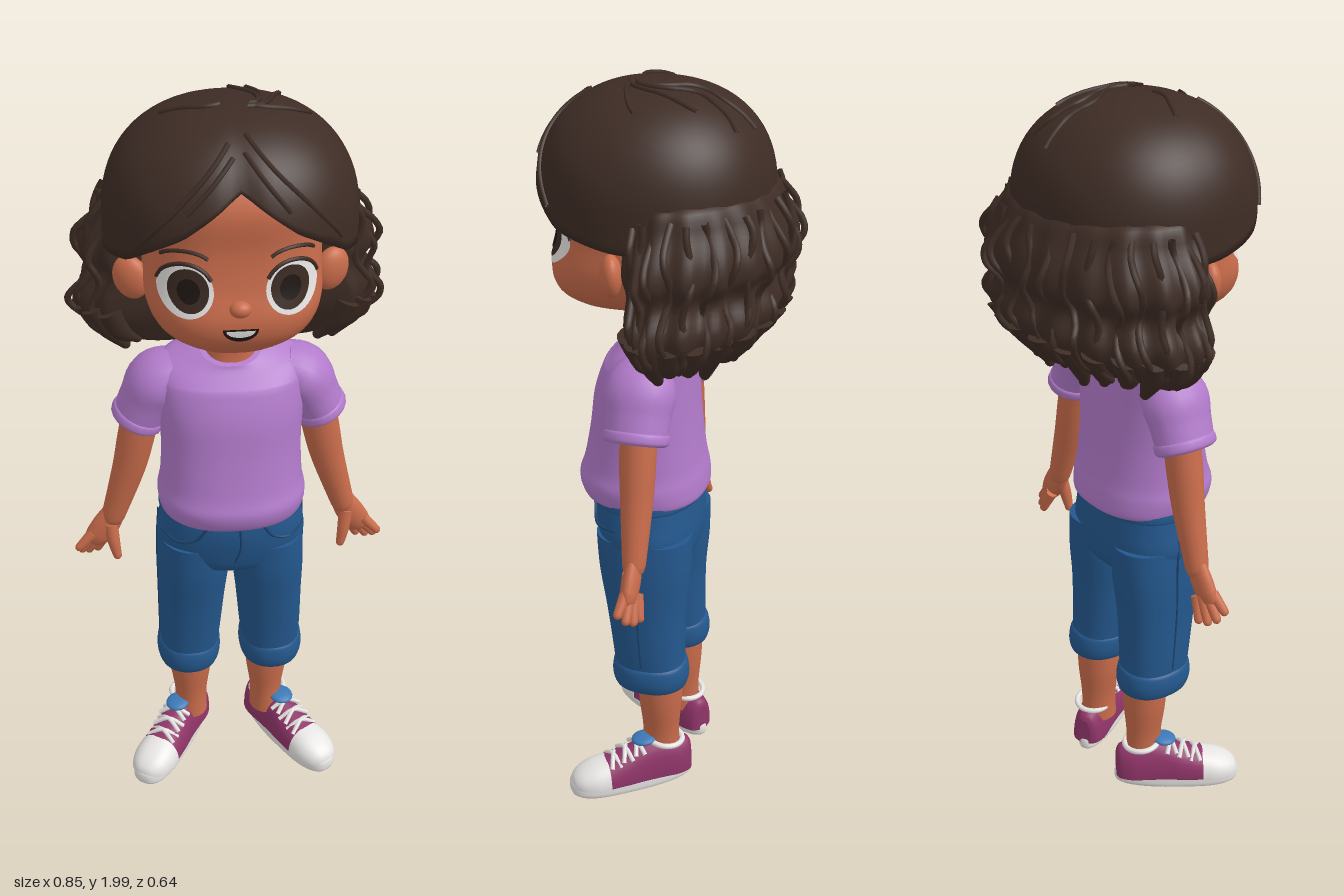
import * as THREE from 'three';

const mat = (name, color, double) => {
  const m = new THREE.MeshStandardMaterial({ color });
  m.name = name;
  if (double) m.side = THREE.DoubleSide;
  return m;
};

// Catmull-Rom smoothing of rows of numbers
const cr = (a, b, c, d, t) => b + 0.5 * t * (c - a + t * (2 * a - 5 * b + 4 * c - d + t * (3 * (b - c) + d - a)));
function smooth(rows, k = 5) {
  const out = [], at = i => rows[Math.min(Math.max(i, 0), rows.length - 1)];
  for (let i = 0; i < rows.length - 1; i++)
    for (let j = 0; j < k; j++)
      out.push(rows[i].map((_, c) => cr(at(i - 1)[c], at(i)[c], at(i + 1)[c], at(i + 2)[c], j / k)));
  out.push(rows[rows.length - 1].slice());
  return out;
}
const spow = (v, p) => Math.sign(v) * Math.abs(v) ** (2 / p);

// Skin over closed rings of points; faces are turned outward by signed volume
function loft(rings, caps = true) {
  const n = rings[0].length, pos = rings.flat(2), idx = [];
  for (let i = 0; i < rings.length - 1; i++)
    for (let j = 0; j < n; j++) {
      const a = i * n + j, b = i * n + (j + 1) % n;
      idx.push(a, b, a + n, b, b + n, a + n);
    }
  if (caps) [rings[0], rings[rings.length - 1]].forEach((r, e) => {
    const s = pos.length / 3;
    pos.push(...r.flat(), ...[0, 1, 2].map(c => r.reduce((t, p) => t + p[c], 0) / n));
    for (let j = 0; j < n; j++) {
      const a = s + j, b = s + (j + 1) % n;
      idx.push(...(e ? [a, b, s + n] : [b, a, s + n]));
    }
  });
  let vol = 0;
  const v = i => new THREE.Vector3().fromArray(pos, i * 3);
  for (let i = 0; i < idx.length; i += 3) vol += v(idx[i]).dot(v(idx[i + 1]).cross(v(idx[i + 2])));
  if (vol < 0) idx.reverse();
  const g = new THREE.BufferGeometry();
  g.setAttribute('position', new THREE.Float32BufferAttribute(pos, 3));
  g.setIndex(idx);
  g.computeVertexNormals();
  return g;
}
const ring = (n, f) => Array.from({ length: n }, (_, i) => f(i / n * Math.PI * 2));

// Upright body from rows [y, centre x, half width, front z, back z]
const column = (rows, p = 2.3, k = 5) => loft(smooth(rows, k).map(([y, cx, rx, zf, zb]) =>
  ring(48, a => [cx + rx * spow(Math.sin(a), p), y, (zf + zb) / 2 + (zf - zb) / 2 * spow(Math.cos(a), p)])));

// Tapered limb from points [x, y, z, radius]; zs flattens it in z
function limb(points, zs = 1, round = true, n = 20) {
  const rows = smooth(points), rings = [];
  const add = ([x, y, z], r, t, s) => rings.push(ring(n, a =>
    [x + t.x * s + t.y * r * Math.cos(a), y + t.y * s - t.x * r * Math.cos(a), z + r * zs * Math.sin(a)]));
  rows.forEach((q, i) => {
    const a = rows[Math.max(i - 1, 0)], b = rows[Math.min(i + 1, rows.length - 1)];
    const t = new THREE.Vector2(b[0] - a[0], b[1] - a[1]).normalize();
    add(q, q[3], t, 0);
    if (round && i === rows.length - 1) for (const s of [0.5, 0.85, 1]) add(q, q[3] * Math.sqrt(1.02 - s * s), t, q[3] * s);
  });
  return loft(rings);
}
const tube = (pts, r, seg = 16) =>
  new THREE.TubeGeometry(new THREE.CatmullRomCurve3(pts.map(p => new THREE.Vector3(...p))), seg, r, 6);

// Head profile, also used to lay the face details on its surface
const HEAD = [[1.415, 0, 0.05, 0.2, 0.05], [1.435, 0, 0.11, 0.24, -0.02], [1.48, 0, 0.18, 0.285, -0.08], [1.54, 0, 0.212, 0.298, -0.12],
  [1.62, 0, 0.215, 0.277, -0.15], [1.7, 0, 0.215, 0.267, -0.17], [1.8, 0, 0.21, 0.268, -0.16], [1.88, 0, 0.16, 0.22, -0.1], [1.94, 0, 0.06, 0.12, 0]];
const headRows = smooth(HEAD, 8);
function faceZ(x, y) {
  const i = Math.max(1, headRows.findIndex(r => r[0] > y)), a = headRows[i - 1], b = headRows[i], t = (y - a[0]) / (b[0] - a[0]);
  const [, , rx, zf, zb] = a.map((v, c) => v + (b[c] - v) * t);
  return (zf + zb) / 2 + (zf - zb) / 2 * Math.max(0, 1 - Math.abs(x / rx) ** 2.8) ** (1 / 2.8);
}
function faceDisc(cx, cy, rx, ry, off, from = 0, len = Math.PI * 2) {
  const g = new THREE.RingGeometry(0.001, 1, 40, 6, from, len), p = g.attributes.position;
  for (let i = 0; i < p.count; i++) {
    const x = cx + p.getX(i) * rx, y = cy + p.getY(i) * ry;
    p.setXYZ(i, x, y, faceZ(x, y) + off);
  }
  g.computeVertexNormals();
  return g;
}

// Hair cap surface: angle a from the front, phi from the crown
const lerp = THREE.MathUtils.lerp;
function hairline(a) {
  const keys = [[0, 1.86], [0.15, 1.825], [0.41, 1.765], [0.96, 1.68], [1.5, 1.65], [3.2, 1.6]];
  const i = keys.findIndex(k => k[0] > a), [a0, y0] = keys[i - 1], [a1, y1] = keys[i];
  return lerp(y0, y1, (a - a0) / (a1 - a0));
}
function capPoint(a, phi, s = 1) {
  const r = (phi > Math.PI / 2 ? 1 : spow(Math.sin(phi), 2.3)) * s;
  const part = Math.cos(a) > 0 ? 1 - 0.06 * Math.exp(-((Math.sin(a) / 0.12) ** 2)) * Math.sin(Math.min(phi, 1.57)) : 1;
  return [0.305 * r * spow(Math.sin(a), 2.15), 1.72 + 0.268 * s * spow(Math.cos(phi), 2.3),
    0.05 + (Math.cos(a) > 0 ? 0.285 * part : 0.3) * r * spow(Math.cos(a), 2.15)];
}

// Wavy lower hair rows [y, half width, back z, front z]
const MASS = smooth([[1.77, 0.15, -0.1, 0.05], [1.76, 0.28, -0.23, 0.09], [1.7, 0.315, -0.275, 0.1], [1.64, 0.352, -0.3, 0.1], [1.59, 0.362, -0.3, 0.1],
  [1.54, 0.343, -0.272, 0.09], [1.48, 0.375, -0.288, 0.09], [1.43, 0.368, -0.265, 0.08], [1.38, 0.32, -0.215, 0.05],
  [1.35, 0.25, -0.15, 0.03], [1.345, 0.15, -0.1, 0.02]], 4);
function massPoint(a, y, s = 1) {
  const row = MASS.reduce((b, r) => Math.abs(r[0] - y) < Math.abs(b[0] - y) ? r : b);
  return massAt(row, a, s, y);
}
const massAt = ([y0, rx, zb, zf], a, s, y = y0) =>
  [rx * s * Math.sin(a), y, -0.04 + (Math.cos(a) > 0 ? zf + 0.04 : -0.04 - zb) * s * Math.cos(a)];

export function createModel() {
  const root = new THREE.Group();
  root.name = 'girl';
  const skin = mat('skin', 0xc96c4b), hair = mat('hair', 0x3e2c25, true), lilac = mat('shirt lilac', 0xb27bcb);
  const denim = mat('denim', 0x24588e), navy = mat('dark denim', 0x1c4470), plum = mat('shoe plum', 0x8f3568);
  const white = mat('white', 0xf0eeec), blue = mat('tongue blue', 0x3b78b5), dark = mat('pupil dark', 0x1d1512), iris = mat('iris brown', 0x3a2a22);
  const add = (name, geo, m, parent = root) => {
    const o = new THREE.Mesh(geo, m);
    o.name = name;
    parent.add(o);
    return o;
  };
  const ball = (name, m, p, s) => {
    const o = add(name, new THREE.SphereGeometry(1, 24, 16), m);
    o.position.set(...p);
    o.scale.set(...s);
    return o;
  };

  // Head and face
  add('head', column(HEAD, 2.8, 8), skin);
  add('neck', column([[1.27, 0, 0.078, 0.125, -0.03], [1.36, 0, 0.068, 0.112, -0.02], [1.47, 0, 0.07, 0.12, -0.02]]), skin);
  ball('nose', skin, [0, 1.575, 0.288], [0.026, 0.02, 0.022]);
  add('mouth', faceDisc(0, 1.53, 0.042, 0.034, 0.004, Math.PI, Math.PI), dark);
  add('teeth', faceDisc(0, 1.527, 0.034, 0.018, 0.007, Math.PI, Math.PI), white);

  // Shirt with a neckline that dips at the front
  const shirt = column([[0.9, 0, 0.17, 0.215, -0.075], [0.905, 0, 0.188, 0.237, -0.093], [0.95, 0, 0.195, 0.25, -0.09], [1.0, 0, 0.186, 0.235, -0.08],
    [1.1, 0, 0.182, 0.215, -0.068], [1.2, 0, 0.187, 0.2, -0.06], [1.28, 0, 0.19, 0.172, -0.055], [1.33, 0, 0.175, 0.148, -0.05],
    [1.36, 0, 0.12, 0.13, -0.04], [1.375, 0, 0.082, 0.125, -0.035]]);
  const sp = shirt.attributes.position;
  for (let i = 0; i < sp.count; i++) {
    const y = sp.getY(i);
    if (y > 1.28) sp.setY(i, y - Math.max(0, sp.getZ(i) - 0.03) * 5 * (y - 1.28));
  }
  shirt.computeVertexNormals();
  add('shirt', shirt, lilac);

  // Trousers: hips, waistband, button
  add('hips', column([[0.7, 0, 0.09, 0.13, -0.04], [0.73, 0, 0.17, 0.175, -0.07], [0.79, 0, 0.2, 0.195, -0.078], [0.86, 0, 0.192, 0.205, -0.075], [0.93, 0, 0.18, 0.2, -0.07]]), denim);
  add('waistband', column([[0.888, 0, 0.188, 0.208, -0.077], [0.895, 0, 0.193, 0.214, -0.082], [0.925, 0, 0.188, 0.212, -0.08], [0.932, 0, 0.18, 0.2, -0.07]], 2.3, 2), denim);
  ball('button', navy, [0, 0.908, 0.215], [0.011, 0.011, 0.006]);
  add('flySeam', tube([[0.012, 0.885, 0.206], [0.014, 0.82, 0.203], [0, 0.77, 0.195]], 0.003), navy);

  for (const s of [1, -1]) {
    const side = s > 0 ? 'left' : 'right', part = n => side + n;
    const mx = pts => pts.map(([x, ...r]) => [x * s, ...r]);

    // Eye, lashes, brow, ear
    add(part('EyeWhite'), faceDisc(s * 0.124, 1.615, 0.064, 0.062, 0.003), white);
    add(part('Iris'), faceDisc(s * 0.118, 1.618, 0.047, 0.051, 0.006), iris);
    add(part('Pupil'), faceDisc(s * 0.118, 1.618, 0.026, 0.029, 0.009), dark);
    const arc = (y0, rx, ry, a0, a1) => Array.from({ length: 9 }, (_, i) => {
      const a = lerp(a0, a1, i / 8), x = s * (0.124 + rx * Math.cos(a)), y = y0 + ry * Math.sin(a);
      return [x, y, faceZ(x, y) + 0.003];
    });
    add(part('Lashes'), tube(arc(1.615, 0.065, 0.064, 0.25, 2.7), 0.005), hair);
    add(part('Brow'), tube(arc(1.675, 0.06, 0.035, 0.5, 2.6), 0.005), hair);
    ball(part('Ear'), skin, [s * 0.243, 1.572, 0.09], [0.045, 0.056, 0.028]).rotation.set(0, s * 0.35, -s * 0.25);

    // Sleeve, arm, hand
    add(part('Sleeve'), limb(mx([[0.13, 1.285, 0.04, 0.06], [0.185, 1.255, 0.037, 0.076], [0.215, 1.2, 0.035, 0.07], [0.24, 1.145, 0.033, 0.066]]), 1.22, false), lilac);
    add(part('SleeveHem'), limb(mx([[0.231, 1.165, 0.033, 0.066], [0.234, 1.158, 0.033, 0.071], [0.241, 1.142, 0.033, 0.071], [0.244, 1.135, 0.033, 0.064]]), 1.2, false), lilac);
    add(part('Arm'), limb(mx([[0.22, 1.2, 0.03, 0.05], [0.245, 1.08, 0.028, 0.049], [0.268, 0.98, 0.025, 0.044], [0.315, 0.825, 0.02, 0.032]]), 0.95), skin);
    add(part('Palm'), limb(mx([[0.31, 0.84, 0.02, 0.031], [0.335, 0.795, 0.02, 0.038], [0.358, 0.762, 0.02, 0.036]]), 0.6), skin);
    [[0.412, 0.732, 0.035], [0.405, 0.712, 0.016], [0.386, 0.7, 0.002], [0.362, 0.698, -0.008]].forEach((t, i) =>
      add(part('Finger' + (i + 1)), limb(mx([[0.372 - i * 0.012, 0.772 - i * 0.006, 0.026 - i * 0.007, 0.016], [...t, 0.012]]), 1, true, 12), skin));
    add(part('Thumb'), limb(mx([[0.325, 0.805, 0.028, 0.02], [0.318, 0.75, 0.04, 0.017], [0.31, 0.705, 0.046, 0.012]]), 1, true, 12), skin);

    // Trouser leg, rolled cuff, pocket seam, shin
    const x = s * 0.112;
    add(part('TrouserLeg'), column([[0.35, s * 0.117, 0.078, 0.13, -0.063], [0.45, s * 0.114, 0.086, 0.14, -0.06], [0.58, s * 0.108, 0.092, 0.158, -0.062],
      [0.7, s * 0.102, 0.099, 0.178, -0.073], [0.8, s * 0.1, 0.096, 0.185, -0.074]]), denim);
    add(part('Cuff'), column([[0.33, s * 0.118, 0.07, 0.12, -0.055], [0.335, s * 0.118, 0.083, 0.134, -0.067], [0.365, s * 0.118, 0.09, 0.142, -0.073],
      [0.4, s * 0.117, 0.087, 0.139, -0.068], [0.41, s * 0.117, 0.078, 0.13, -0.06]], 2.2, 3), denim);
    add(part('PocketSeam'), tube(mx([[0.075, 0.888, 0.2], [0.1, 0.85, 0.192], [0.15, 0.832, 0.17], [0.19, 0.838, 0.11]]), 0.004), navy);
    add(part('SideSeam'), tube(mx([[0.194, 0.87, 0.06], [0.2, 0.76, 0.05], [0.2, 0.6, 0.05], [0.199, 0.42, 0.04]]), 0.003), navy);
    add(part('Shin'), column([[0.09, x, 0.047, 0.062, -0.045], [0.17, x, 0.047, 0.06, -0.044], [0.27, x, 0.06, 0.07, -0.052], [0.38, x, 0.064, 0.075, -0.056]], 2), skin);

    // Shoe, toes turned out
    const shoe = new THREE.Group();
    shoe.name = part('Shoe');
    shoe.position.set(s * 0.105, 0, -0.03);
    shoe.rotation.y = s * 0.57;
    root.add(shoe);
    const foot = (y, k) => ring(48, a => [(0.053 + 0.013 * Math.cos(a)) * k * spow(Math.sin(a), 2.6), y, 0.131 + 0.181 * k * spow(Math.cos(a), 2.6)]);
    add('sole', loft([foot(0, 0.93), foot(0.006, 0.98), foot(0.014, 1), foot(0.036, 1), foot(0.043, 0.97)]), white, shoe);
    const upper = rows => loft(smooth(rows).map(([z, w, h]) => ring(32, a =>
      [w * spow(Math.cos(a), 2.4), 0.033 + h * (Math.sin(a) > 0 ? spow(Math.sin(a), 2.2) : 0.1 * Math.sin(a)), z])));
    add('upper', upper([[-0.046, 0.02, 0.075], [-0.035, 0.038, 0.092], [0, 0.05, 0.102], [0.05, 0.051, 0.108], [0.1, 0.053, 0.1], [0.15, 0.058, 0.082], [0.22, 0.062, 0.062]]), plum, shoe);
    add('toeCap', upper([[0.205, 0.063, 0.066], [0.245, 0.062, 0.057], [0.28, 0.05, 0.042], [0.3, 0.032, 0.026], [0.307, 0.015, 0.012]]), white, shoe);
    const collar = add('collar', new THREE.TorusGeometry(0.049, 0.008, 8, 32), white, shoe);
    collar.rotation.x = Math.PI / 2 - 0.1;
    collar.position.set(0, 0.136, 0.028);
    const tongue = add('tongue', new THREE.SphereGeometry(1, 20, 12), blue, shoe);
    tongue.scale.set(0.034, 0.012, 0.036);
    tongue.position.set(0, 0.145, 0.092);
    tongue.rotation.x = 0.1;
    for (let i = 0; i < 3; i++) {
      const z = 0.11 + i * 0.035, y = 0.138 - i * 0.015;
      for (const d of [1, -1])
        add('lace', tube([[-0.042 * d, y - 0.022, z - 0.01], [0, y + 0.003, z + 0.004], [0.042 * d, y - 0.022, z + 0.018]], 0.0065, 8), white, shoe);
    }
  }

  // Hair cap, ending in a rim turned in to the forehead
  const N = 96, steps = 24, capRings = [];
  for (let i = 1; i <= steps + 1; i++)
    capRings.push(ring(N, a => {
      const b = a > Math.PI ? Math.PI * 2 - a : a, h = (hairline(b) - 1.72) / 0.268;
      const p = capPoint(a, Math.acos(spow(h, 2 / 1.15)) * Math.min(i / steps, 1));
      return i > steps ? [p[0] * 0.8, p[1] + 0.01, 0.05 + (p[2] - 0.05) * 0.76] : p;
    }));
  capRings.unshift(ring(N, () => [0, 1.988, 0.05]));
  add('hairCap', loft(capRings, false), hair);

  // Wavy hair below, a horseshoe around the neck with scalloped locks
  const A0 = 0.9, M = 110, span = Math.PI * 2 - 2 * A0;
  add('hairLengths', loft(MASS.map((row, k) => {
    const amp = 0.028 * Math.min(1, k / 16), pts = [];
    for (let i = 0; i <= M; i++) {
      const a = A0 + span * i / M;
      pts.push(massAt(row, a, 1 + amp * Math.cos(a * 20)));
    }
    const inner = [row[0], 0.15, -0.1, row[3]];
    for (let i = 20; i >= 0; i--) pts.push(massAt(inner, A0 + span * i / 20, 1));
    return pts;
  }), false), hair);

  // Hanging lock ends and loose curls
  for (let i = 0; i < 18; i++) {
    const a = A0 + 0.1 + (span - 0.2) * i / 17, end = 1.345 + 0.015 * Math.sin(i * 2.3);
    const [p, q, r] = [massPoint(a, 1.45, 0.94), massPoint(a, 1.39, 0.96), massPoint(a, 1.38, 0.86)];
    add('lockEnd', limb([[...p, 0.034], [...q, 0.03], [r[0], end, r[2], 0.014]], 1, true, 12), hair);
  }
  for (let i = 0; i < 22; i++) {
    const a = A0 + 0.25 + (span - 0.5) * i / 21, pts = [];
    for (let k = 0; k <= 12; k++) {
      const y = 1.73 - k * 0.03;
      pts.push(massPoint(a + 0.03 * Math.sin(k + i), y, 1.015 + 0.05 * Math.sin(k * 1.05 + i * 1.9)));
    }
    add('looseCurl', tube(pts, 0.009, 40), hair);
  }

  // Fine strands over the crown and fringe, as [angle, phi] paths
  const strands = [[[0.1, 0.5], [0.3, 0.9], [0.6, 1.3], [0.85, 1.55]], [[0.05, 0.7], [0.2, 1.0], [0.35, 1.25]], [[-0.1, 0.6], [-0.3, 0.95], [-0.55, 1.3], [-0.8, 1.55]],
    [[-0.05, 0.75], [-0.25, 1.05], [-0.4, 1.25]], [[0.9, 0.12], [2.6, 0.3], [2.8, 0.6], [2.75, 0.9]], [[1.2, 0.15], [2.9, 0.25], [3.05, 0.6], [3.1, 0.95]],
    [[0.6, 0.15], [1.9, 0.3], [2.4, 0.6]], [[-0.7, 0.1], [-1.4, 0.3], [-1.6, 0.5]], [[0.8, 0.15], [1.3, 0.35], [1.6, 0.6]]];
  for (const st of strands) add('fineStrand', tube(smooth(st, 4).map(([a, f]) => capPoint(a, f, 1.008)), 0.006, 24), hair);
  return root;
}
